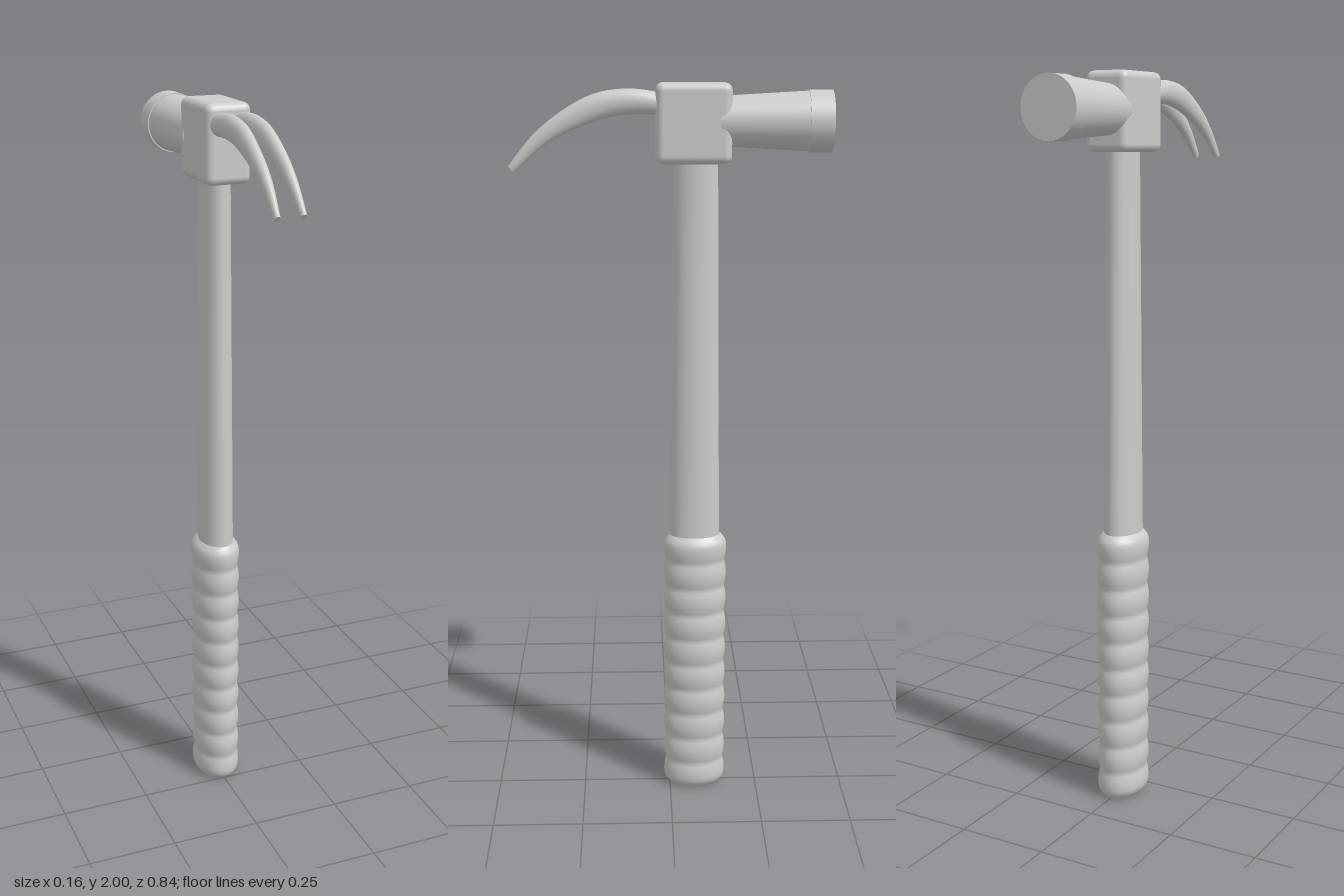
import * as THREE from 'three';
import { RoundedBoxGeometry } from 'three/addons/geometries/RoundedBoxGeometry.js';

// Smooth closed skin through elliptical sections {c, u, v}; u x v points along the travel.
function loft(sections, sides) {
  const pos = [], idx = [];
  const ring = ({ c, u, v }) => {
    const start = pos.length / 3;
    for (let i = 0; i < sides; i++) {
      const a = (i / sides) * Math.PI * 2;
      const p = c.clone().addScaledVector(u, Math.cos(a)).addScaledVector(v, Math.sin(a));
      pos.push(p.x, p.y, p.z);
    }
    return start;
  };
  const starts = sections.map(ring);
  for (let s = 0; s < starts.length - 1; s++) {
    for (let i = 0; i < sides; i++) {
      const j = (i + 1) % sides, a = starts[s], b = starts[s + 1];
      idx.push(a + i, a + j, b + j, a + i, b + j, b + i);
    }
  }
  // flat end caps on their own vertices
  [sections[0], sections[sections.length - 1]].forEach((sec, end) => {
    const r = ring(sec);
    for (let i = 1; i < sides - 1; i++) {
      if (end) idx.push(r, r + i, r + i + 1);
      else idx.push(r, r + i + 1, r + i);
    }
  });
  const g = new THREE.BufferGeometry();
  g.setAttribute('position', new THREE.Float32BufferAttribute(pos, 3));
  g.setIndex(idx);
  g.computeVertexNormals();
  return g;
}

const V = (x, y, z) => new THREE.Vector3(x, y, z);
const upright = (y, halfX, halfZ, z) => ({ c: V(0, y, z), u: V(0, 0, halfZ), v: V(halfX, 0, 0) });

export function createModel() {
  const group = new THREE.Group();
  const grey = new THREE.MeshStandardMaterial({ color: 0xcccccc });
  grey.name = 'light grey';
  const add = (name, geometry) => {
    const mesh = new THREE.Mesh(geometry, grey);
    mesh.name = name;
    group.add(mesh);
    return mesh;
  };

  // Tapered oval shaft
  add('shaft', loft([upright(0.7, 0.048, 0.07, -0.069), upright(1.85, 0.039, 0.058, -0.068)], 32));

  // Ribbed grip: ten soft bulges with rounded ends
  const grip = [], steps = 100, top = 0.77;
  for (let i = 0; i <= steps; i++) {
    const y = (i / steps) * top;
    const bulge = -0.006 * (1 - Math.abs(Math.sin((i / steps) * Math.PI * 10)));
    const edge = Math.max(0, 1 - Math.min(y, top - y) / 0.025);
    const inset = bulge - 0.012 * edge * edge;
    grip.push(upright(y, 0.066 + inset, 0.088 + inset, -0.071));
  }
  add('grip', loft(grip, 36));

  // Head block
  add('headBlock', new RoundedBoxGeometry(0.124, 0.205, 0.198, 3, 0.02)).position.set(0, 1.8975, -0.061);

  // Striking neck and face, turned about the z axis
  const turned = (name, rFront, rBack, zFront, zBack) => {
    const g = new THREE.CylinderGeometry(rFront, rBack, zFront - zBack, 40);
    g.rotateX(Math.PI / 2);
    add(name, g).position.set(0, 1.902, (zFront + zBack) / 2);
  };
  turned('neck', 0.064, 0.077, -0.13, -0.362);
  turned('strikingFace', 0.08, 0.08, -0.36, -0.422);

  // Curved claws: [z, y, half height, x centre, half width]
  const claw = [
    [0.0, 1.942, 0.026, 0.026, 0.025],
    [0.037, 1.948, 0.028, 0.027, 0.024],
    [0.11, 1.952, 0.032, 0.028, 0.0225],
    [0.19, 1.939, 0.033, 0.029, 0.0205],
    [0.286, 1.894, 0.026, 0.031, 0.017],
    [0.35, 1.848, 0.019, 0.032, 0.0135],
    [0.413, 1.783, 0.011, 0.034, 0.008],
  ];
  for (const [name, side] of [['leftClaw', 1], ['rightClaw', -1]]) {
    const path = new THREE.CatmullRomCurve3(claw.map(([z, y, , x]) => V(side * x, y, z)));
    const sizes = new THREE.CatmullRomCurve3(claw.map(([, , h, , w]) => V(w, h, 0)));
    const sections = [];
    for (let i = 0; i <= 30; i++) {
      const t = i / 30, size = sizes.getPoint(t), dir = path.getTangent(t);
      const up = V(0, dir.z, -dir.y).normalize();
      sections.push({ c: path.getPoint(t), u: V(size.x, 0, 0), v: up.multiplyScalar(size.y) });
    }
    add(name, loft(sections, 20));
  }
  return group;
}
